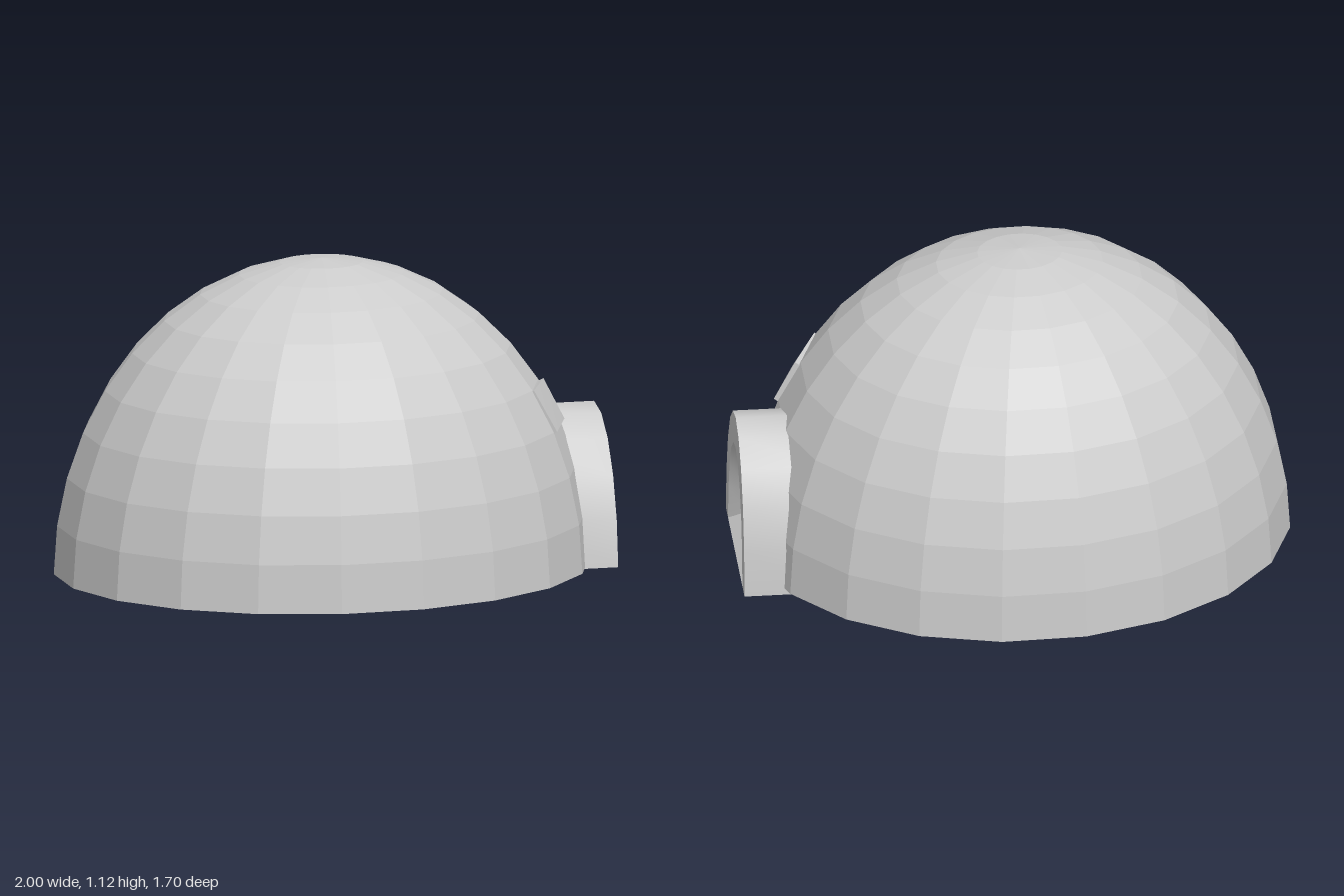
import * as THREE from 'three';
import { toCreasedNormals } from 'three/addons/utils/BufferGeometryUtils.js';

// Closed solid through matching loops of points (counter-clockwise from outside), capped at both ends
function loft(loops) {
  const n = loops[0].length;
  const pos = [];
  const tri = (...pts) => pts.forEach((p) => pos.push(...p));
  loops.slice(1).forEach((b, k) => {
    const a = loops[k];
    for (let i = 0; i < n; i++) {
      const j = (i + 1) % n;
      tri(a[i], a[j], b[j]);
      tri(a[i], b[j], b[i]);
    }
  });
  const first = loops[0], last = loops[loops.length - 1];
  for (let i = 1; i < n - 1; i++) {
    tri(first[0], first[i + 1], first[i]);
    tri(last[0], last[i], last[i + 1]);
  }
  const geometry = new THREE.BufferGeometry();
  geometry.setAttribute('position', new THREE.Float32BufferAttribute(pos, 3));
  return toCreasedNormals(geometry, 0.6);
}

// Half-ellipse arch outline with a flat base
function arch(halfWidth, base, height, z) {
  const points = [];
  for (let i = 0; i <= 10; i++) {
    const a = (i / 10) * Math.PI;
    points.push([halfWidth * Math.cos(a), base + height * Math.sin(a), z]);
  }
  return points;
}

export function createModel() {
  const model = new THREE.Group();
  const material = new THREE.MeshStandardMaterial({ color: 0xcccccc });
  const add = (name, geometry, mat = material) => {
    const mesh = new THREE.Mesh(geometry, mat);
    mesh.name = name;
    model.add(mesh);
    return mesh;
  };

  // Dome: thin faceted shell, open underneath
  const domeGeometry = new THREE.SphereGeometry(1, 20, 10, 0, Math.PI * 2, 0, Math.PI / 2);
  domeGeometry.scale(0.95, 1.095, 0.85);
  const dome = add('dome', domeGeometry, new THREE.MeshStandardMaterial({
    color: 0xcccccc, flatShading: true, side: THREE.DoubleSide,
  }));
  dome.position.set(-0.05, 0.025, 0);

  // Entrance: arched porch with a bevelled, recessed doorway
  const entrance = add('entrance', loft([
    arch(0.315, 0, 0.537, -0.285),
    arch(0.315, 0, 0.537, 0),
    arch(0.242, 0, 0.418, 0),
    arch(0.191, 0.047, 0.328, -0.055),
  ]));
  entrance.position.set(0.945, 0.011, 0.115);
  entrance.rotation.set(0, 1.396, -0.032);

  // Window: thin slab lying on the slope beside the entrance
  const outer = [
    [0.645, 0.525, 0.45], [0.77, 0.525, 0.239], [0.7, 0.67, 0.216], [0.575, 0.67, 0.41],
  ];
  const inner = outer.map(([x, y, z]) => [x - 0.018, y - 0.012, z - 0.012]);
  add('window', loft([inner, outer]));

  return model;
}
